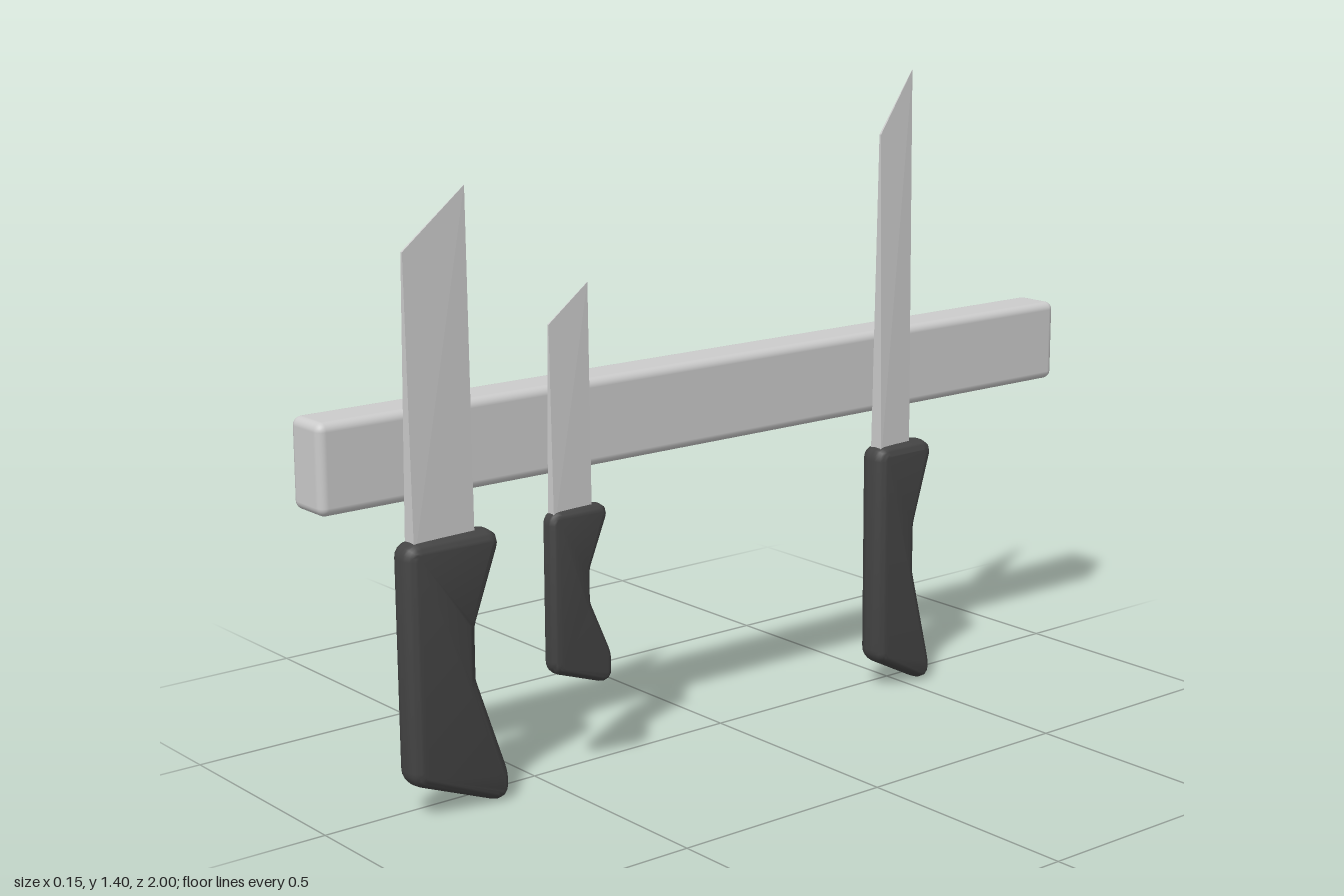
import * as THREE from 'three';
import { mergeVertices, toCreasedNormals } from 'three/addons/utils/BufferGeometryUtils.js';
import { RoundedBoxGeometry } from 'three/addons/geometries/RoundedBoxGeometry.js';

const STEEL = new THREE.MeshStandardMaterial({ color: 0xcccccc });
const GRIP = new THREE.MeshStandardMaterial({ color: 0x444444 });
const KNIFE_X = 0.041;

// Shrinks a counter-clockwise polygon by d
function inset(pts, d) {
  const n = pts.length;
  return pts.map((p, i) => {
    const a = p.clone().sub(pts[(i + n - 1) % n]).normalize();
    const b = pts[(i + 1) % n].clone().sub(p).normalize();
    const na = new THREE.Vector2(-a.y, a.x);
    const nb = new THREE.Vector2(-b.y, b.x);
    return p.clone().addScaledVector(na.clone().add(nb), d / (1 + na.dot(nb)));
  });
}

// Closed shape with softened corners
function roundedShape(pts, r) {
  const n = pts.length;
  const shape = new THREE.Shape();
  pts.forEach((p, i) => {
    const prev = pts[(i + n - 1) % n], next = pts[(i + 1) % n];
    const toward = (q) => p.clone().addScaledVector(
      q.clone().sub(p).normalize(), Math.min(r, p.distanceTo(q) * 0.4));
    const s = toward(prev), e = toward(next);
    if (i === 0) shape.moveTo(s.x, s.y); else shape.lineTo(s.x, s.y);
    shape.quadraticCurveTo(p.x, p.y, e.x, e.y);
  });
  shape.closePath();
  return shape;
}

// Handle: side outline in (z, y), rounded over across its thickness
function makeHandle(outline, half, bevel) {
  const pts = outline.map(([z, y]) => new THREE.Vector2(-z, y));
  if (THREE.ShapeUtils.area(pts) < 0) pts.reverse();
  const round = half * 0.85;
  const depth = 2 * (half - round);
  let geo = new THREE.ExtrudeGeometry(roundedShape(inset(pts, bevel), 0.012), {
    depth, bevelEnabled: true, bevelSize: bevel, bevelThickness: round,
    bevelSegments: 6, curveSegments: 4,
  });
  geo.translate(0, 0, -depth / 2).rotateY(Math.PI / 2);
  geo.deleteAttribute('uv');
  geo.deleteAttribute('normal');
  geo = toCreasedNormals(mergeVertices(geo, 1e-5), 0.8);
  const mesh = new THREE.Mesh(geo, GRIP);
  mesh.name = 'handle';
  mesh.position.x = KNIFE_X;
  return mesh;
}

// Blade: a wedge, thick at the spine (+z) and thinning to the slanted tip
function makeBlade({ spineZ, edgeZ, spineTop, tipTop, thick }) {
  const base = 0.54;
  const geo = new THREE.BoxGeometry(1, 1, 1).toNonIndexed();
  const p = geo.attributes.position;
  for (let i = 0; i < p.count; i++) {
    const spine = p.getZ(i) > 0;
    const y = p.getY(i) < 0 ? base : spine ? spineTop : tipTop;
    const t = Math.max(0.0015, thick * (tipTop - y) / (tipTop - base)) * (spine ? 1 : 0.6);
    p.setXYZ(i, p.getX(i) * t, y, spine ? spineZ : edgeZ);
  }
  geo.computeVertexNormals();
  const mesh = new THREE.Mesh(geo, STEEL);
  mesh.name = 'blade';
  mesh.position.x = KNIFE_X;
  return mesh;
}

const KNIVES = [
  {
    name: 'wideKnife', half: 0.035, bevel: 0.022,
    outline: [[0.84, 0.58], [0.61, 0.58], [0.68, 0.39], [0.68, 0.28], [0.607, 0.07], [0.607, 0], [0.838, 0.09]],
    blade: { spineZ: 0.815, edgeZ: 0.67, spineTop: 1.145, tipTop: 1.26, thick: 0.033 },
  },
  {
    name: 'smallKnife', half: 0.021, bevel: 0.016,
    outline: [[0.49, 0.583], [0.336, 0.583], [0.39, 0.45], [0.39, 0.38], [0.337, 0.26], [0.337, 0.192], [0.49, 0.245]],
    blade: { spineZ: 0.478, edgeZ: 0.38, spineTop: 0.965, tipTop: 1.04, thick: 0.022 },
  },
  {
    name: 'longKnife', half: 0.035, bevel: 0.02,
    outline: [[-0.4, 0.58], [-0.572, 0.58], [-0.515, 0.39], [-0.515, 0.28], [-0.57, 0.06], [-0.57, 0], [-0.402, 0.085]],
    blade: { spineZ: -0.417, edgeZ: -0.51, spineTop: 1.275, tipTop: 1.41, thick: 0.033 },
  },
];

export function createModel() {
  const model = new THREE.Group();
  model.name = 'knifeRack';

  // Magnetic wall bar
  const bar = new THREE.Mesh(new RoundedBoxGeometry(0.105, 0.183, 2, 3, 0.018), STEEL);
  bar.name = 'magneticBar';
  bar.position.set(-0.0245, 0.7455, 0);
  model.add(bar);

  // Knives hanging on its right-hand face
  for (const k of KNIVES) {
    const knife = new THREE.Group();
    knife.name = k.name;
    knife.add(makeHandle(k.outline, k.half, k.bevel), makeBlade(k.blade));
    model.add(knife);
  }
  return model;
}
